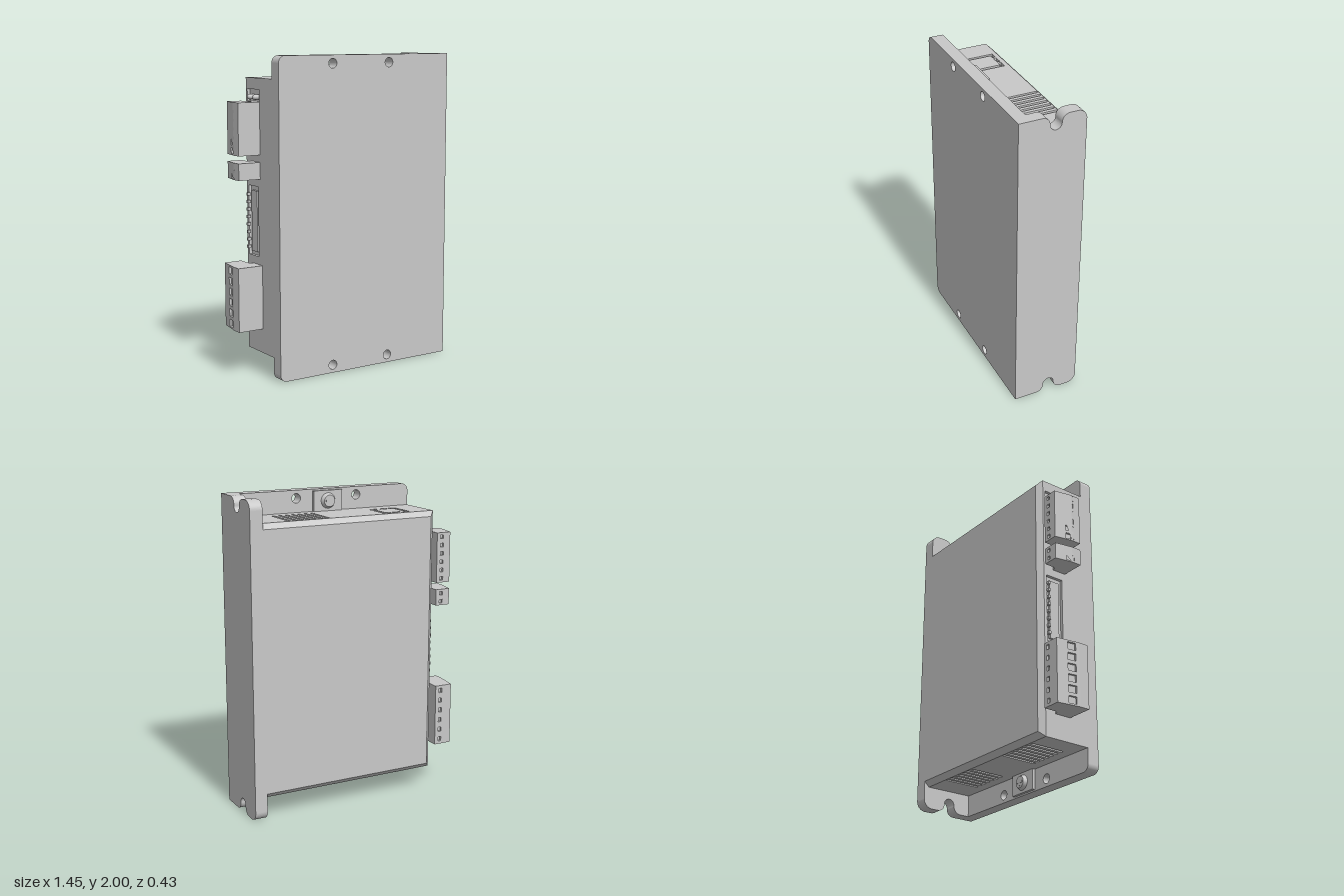
import * as THREE from 'three';
import { ConvexGeometry } from 'three/addons/geometries/ConvexGeometry.js';

export function createModel() {
  const root = new THREE.Group();
  const grey = new THREE.MeshStandardMaterial({ color: 0xc8c8c8 });
  grey.name = 'light metal grey';

  const add = (name, geo, parent = root) => {
    const m = new THREE.Mesh(geo, grey);
    m.name = name;
    parent.add(m);
    return m;
  };
  const box = (name, x0, x1, y0, y1, z0, z1) => {
    const g = new THREE.BoxGeometry(x1 - x0, y1 - y0, z1 - z0);
    return add(name, g.translate((x0 + x1) / 2, (y0 + y1) / 2, (z0 + z1) / 2));
  };
  const poly = (pts, C = THREE.Shape) => new C(pts.map(p => new THREE.Vector2(...p)));
  const rectPts = (a0, a1, b0, b1) => [[a0, b0], [a1, b0], [a1, b1], [a0, b1]];
  const rect = (...r) => poly(rectPts(...r));
  const rectHole = (...r) => poly(rectPts(...r), THREE.Path);
  const disc = (x, y, r) => new THREE.Path().absarc(x, y, r, 0, Math.PI * 2);
  // rounded slot running along the second axis
  const slot = (x, b0, b1, r) => {
    const p = new THREE.Path();
    p.absarc(x, b1 - r, r, 0, Math.PI);
    p.absarc(x, b0 + r, r, Math.PI, Math.PI * 2);
    p.closePath();
    return p;
  };
  const extrude = (shape, depth) =>
    new THREE.ExtrudeGeometry(shape, { depth, bevelEnabled: false, curveSegments: 16 });
  // shape drawn in (x, z), top at yTop
  const slabY = (shape, yTop, depth) => extrude(shape, depth).rotateX(Math.PI / 2).translate(0, yTop, 0);
  // shape drawn in (z, y), +x side at xMax
  const slabX = (shape, xMax, depth) => extrude(shape, depth).rotateY(-Math.PI / 2).translate(xMax, 0, 0);

  // Mounting plate at the front, rounded on one side
  const r = 0.045, L = -0.555, R = 0.722;
  const plate = new THREE.Shape();
  plate.moveTo(R, 0);
  plate.lineTo(R, 2);
  plate.lineTo(L + r, 2);
  plate.absarc(L + r, 2 - r, r, Math.PI / 2, Math.PI);
  plate.lineTo(L, r);
  plate.absarc(L + r, r, r, Math.PI, Math.PI * 1.5);
  plate.closePath();
  for (const x of [-0.17, 0.254]) for (const y of [0.051, 1.949]) plate.holes.push(disc(x, y, 0.03));
  add('mountingPlate', extrude(plate, 0.082).translate(0, 0, 0.132));

  // Side flange with a notch at each end, drawn as a mirrored half outline
  const half = new THREE.Path();
  half.moveTo(0.214, 1);
  half.lineTo(0.214, 2);
  half.lineTo(0.067, 2);
  half.absarc(0.067, 1.95, 0.05, Math.PI / 2, Math.PI, false);
  half.absarc(-0.02, 1.947, 0.037, 0, Math.PI, true);
  half.absarc(-0.107, 1.95, 0.05, 0, Math.PI / 2, false);
  half.lineTo(-0.155, 2);
  half.absarc(-0.155, 1.94, 0.06, Math.PI / 2, Math.PI, false);
  half.lineTo(-0.215, 1);
  const upper = half.getPoints(10);
  const lower = upper.slice(1, -1).reverse().map(p => new THREE.Vector2(p.x, 2 - p.y));
  add('sideFlange', slabX(new THREE.Shape([...upper, ...lower]), R, 0.082));

  // Cover: hollow, with a chamfered back
  const B = 0.14, T = 1.86, X = 0.645, c = 0.033, backPts = [];
  for (const [z, k] of [[-0.182, 0], [-0.215, c]])
    for (const x of [L + k, X]) for (const y of [B + k, T - k]) backPts.push(new THREE.Vector3(x, y, z));
  add('coverBack', new ConvexGeometry(backPts));

  const vents = (shape, start) => {
    for (let i = 0; i < 7; i++) shape.holes.push(slot(start + i * 0.0433, -0.177, 0.065, 0.0095));
  };
  const top = rect(L, X, -0.182, 0.133);
  vents(top, 0.185);
  top.holes.push(rectHole(-0.4, -0.215, -0.153, 0.037));
  add('coverTop', slabY(top, T, 0.02));
  // knock-out panel inside the square window, held by narrow tabs
  box('knockoutPanel', -0.38, -0.238, T - 0.02, T, -0.133, 0.017);
  for (const x of [-0.345, -0.275]) box('knockoutTab', x - 0.008, x + 0.008, T - 0.02, T, -0.154, 0.038);

  const bottom = rect(L, X, -0.182, 0.133);
  vents(bottom, 0.185);
  vents(bottom, -0.406);
  add('coverBottom', slabY(bottom, B + 0.02, 0.02));

  // Connector side with recessed windows
  const side = rect(-0.182, 0.133, B + 0.02, T - 0.02);
  side.holes.push(rectHole(-0.16, -0.04, 0.75, 1.19), rectHole(-0.165, -0.02, 1.715, 1.79));
  add('coverSide', slabX(side, L + 0.02, 0.02));
  box('recessBacking', L + 0.02, L + 0.03, 0.7, 1.82, -0.18, 0.02);

  // Row of small switches
  box('switchBody', -0.55, L + 0.025, 0.775, 1.16, -0.135, -0.065);
  for (let i = 0; i < 8; i++) {
    const y = 0.8 + i * 0.0477;
    box('switchLever', -0.572, -0.55, y - 0.009, y + 0.009, -0.162, -0.145);
  }

  // Indicator lamps
  for (const z of [-0.115, -0.051]) {
    const lamp = add('indicatorLamp', new THREE.CapsuleGeometry(0.016, 0.03, 6, 16).rotateZ(Math.PI / 2));
    lamp.position.set(-0.553, 1.743, z);
  }

  // Pluggable terminal blocks: core plus two pierced face plates
  const facePlate = (name, group, a, b, y0, y1, holes) => {
    const shape = rect(0, Math.hypot(b[0] - a[0], b[1] - a[1]), y0, y1);
    shape.holes.push(...holes);
    const m = add(name, extrude(shape, 0.016).translate(0, 0, -0.016), group);
    m.position.set(a[0], 0, a[1]);
    m.rotation.y = Math.atan2(-(b[1] - a[1]), b[0] - a[0]);
  };
  const terminal = (name, y0, y1, poles, xo, zb, zf) => {
    const g = new THREE.Group();
    g.name = name;
    root.add(g);
    // wire face slopes from the back edge to zm, then runs straight to zf
    const xb = xo + 0.022, i = 0.014, xi = -0.585, zm = zf - 0.065;
    add('terminalCore', slabY(poly([
      [xo, zf], [xo, zm], [xo + i, zm], [xb + i, zb + i], [xi, zb + i],
      [xi, -0.13], [-0.57, -0.11], [-0.55, -0.11], [-0.55, zf],
    ]), y1, y1 - y0), g);
    const wires = [], screws = [], p = (y1 - y0) / poles;
    for (let k = 0; k < poles; k++) {
      const y = y0 + (k + 0.5) * p;
      wires.push(rectHole(0.075, 0.13, y - p * 0.34, y + p * 0.34));
      screws.push(rectHole(0.025, 0.048, y - p * 0.22, y + p * 0.22));
    }
    facePlate('wireFace', g, [xb, zb], [xo, zm], y0, y1, wires);
    facePlate('screwFace', g, [xi, zb], [xb, zb], y0, y1, screws);
  };
  terminal('signalTerminal', 1.39, 1.715, 6, -0.705, -0.195, -0.015);
  terminal('auxiliaryTerminal', 1.24, 1.345, 2, -0.705, -0.195, -0.015);
  terminal('powerTerminal', 0.295, 0.7, 6, -0.725, -0.215, 0.002);

  // Cover tabs and cross-head screws at both ends
  for (const s of [-1, 1]) {
    const y = 1 + s * 0.925;
    box('coverTab', -0.06, 0.14, y - 0.065, y + 0.065, 0.113, 0.133);
    const head = new THREE.CylinderGeometry(0.037, 0.05, 0.024, 28).rotateX(-Math.PI / 2);
    add('screwHead', head).position.set(0.04, y, 0.102);
    box('screwCross', 0.015, 0.065, y - 0.007, y + 0.007, 0.087, 0.092);
    box('screwCross', 0.033, 0.047, y - 0.025, y + 0.025, 0.087, 0.092);
  }
  return root;
}
